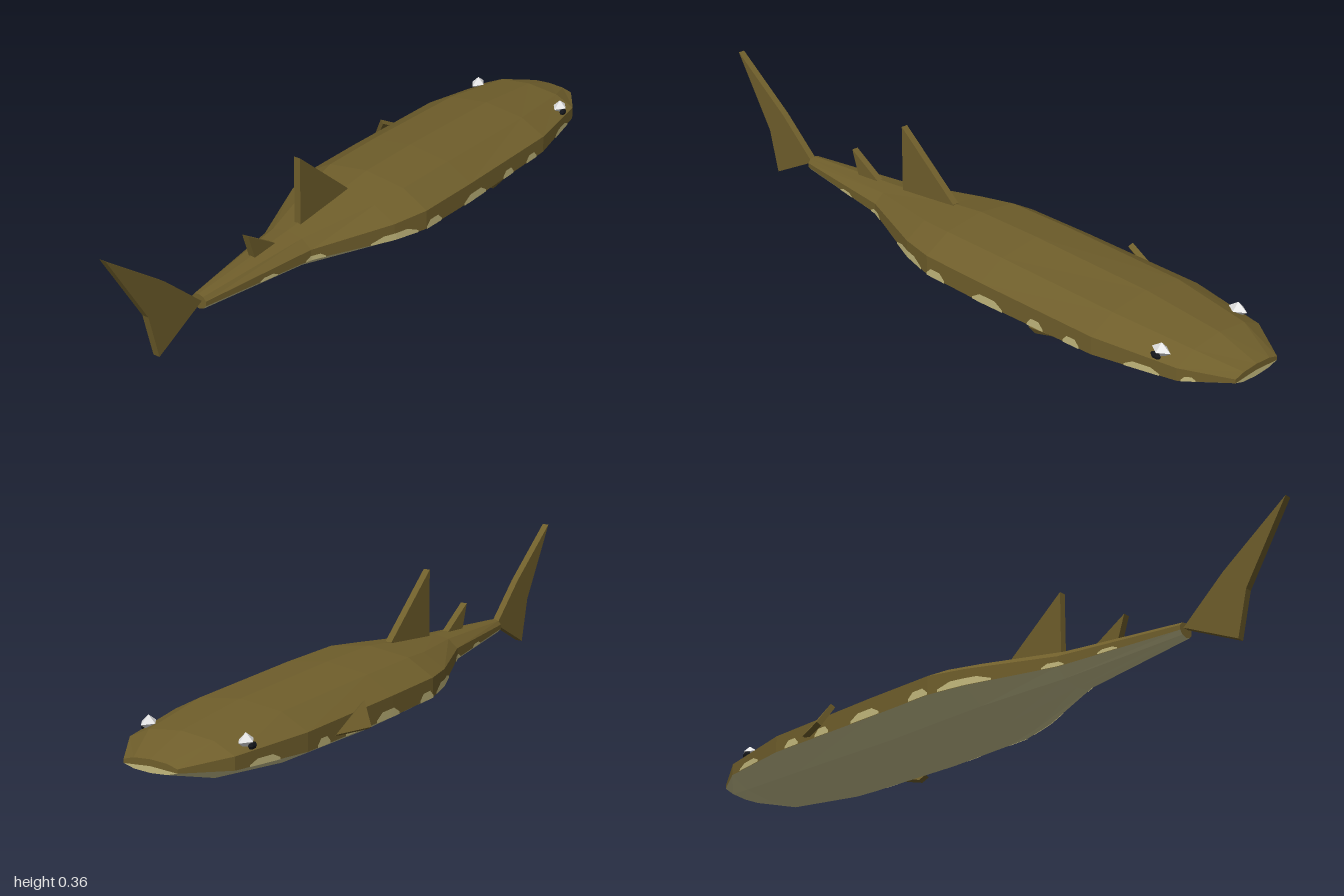
import * as THREE from 'three';
import { ConvexGeometry } from 'three/addons/geometries/ConvexGeometry.js';

const material = (name, color, extra = {}) => {
  const m = new THREE.MeshStandardMaterial({ color, flatShading: true, ...extra });
  m.name = name;
  return m;
};

const MID_Z = 0.0225;
const SIDES = 10;

// Body stations along x: [x, half width, top y, bottom y]
const STATIONS = [
  [-0.67, 0.024, 0.117, 0.075],
  [-0.31, 0.078, 0.145, 0.048],
  [-0.07, 0.175, 0.17, 0.016],
  [0.04, 0.203, 0.183, 0.003],
  [0.25, 0.206, 0.183, 0.0],
  [0.64, 0.203, 0.173, 0.012],
  [0.88, 0.158, 0.15, 0.037],
  [1.0, 0.08, 0.11, 0.076],
];

// Interpolated station at any x
function stationAt(x) {
  let i = 0;
  while (i < STATIONS.length - 2 && x > STATIONS[i + 1][0]) i++;
  const [a, b] = [STATIONS[i], STATIONS[i + 1]];
  const t = (x - a[0]) / (b[0] - a[0]);
  return a.map((v, k) => THREE.MathUtils.lerp(v, b[k], t));
}

function ringPoint([x, half, top, bottom], k) {
  const a = ((k - 0.5) * 2 * Math.PI) / SIDES;
  const rz = half / Math.cos(Math.PI / SIDES);
  return [x, (top + bottom) / 2 + (Math.sin(a) * (top - bottom)) / 2, MID_Z + Math.cos(a) * rz];
}

function geometryFrom(positions) {
  const g = new THREE.BufferGeometry();
  g.setAttribute('position', new THREE.Float32BufferAttribute(positions, 3));
  g.computeVertexNormals();
  return g;
}

// Lengthwise strips of the ten-sided body, from strip `first` to `last`
function bodyStrips(first, last) {
  const pos = [];
  for (let i = 0; i < STATIONS.length - 1; i++) {
    for (let k = first; k <= last; k++) {
      const a = ringPoint(STATIONS[i], k), b = ringPoint(STATIONS[i + 1], k);
      const c = ringPoint(STATIONS[i + 1], k + 1), d = ringPoint(STATIONS[i], k + 1);
      pos.push(...a, ...b, ...c, ...a, ...c, ...d);
    }
  }
  return geometryFrom(pos);
}

// Fan of an end ring, facing +x or -x
function endCap(station, first, last, facing) {
  const [x, , top, bottom] = station;
  const centre = [x, (top + bottom) / 2, MID_Z];
  const pos = [];
  for (let k = first; k <= last; k++) {
    const a = ringPoint(station, k), b = ringPoint(station, k + 1);
    pos.push(...centre, ...(facing > 0 ? [...b, ...a] : [...a, ...b]));
  }
  return geometryFrom(pos);
}

// Round-topped patch lying on the side band
function sidePatch(x0, x1, side) {
  const pos = [], n = 8, rows = [];
  for (let i = 0; i <= n; i++) {
    const t = i / n;
    const s = stationAt(THREE.MathUtils.lerp(x0, x1, t));
    const y = ringPoint(s, 0)[1];
    const band = ringPoint(s, 1)[1] - y;
    const rise = band * 0.42 * Math.min(1, 0.3 + 2.8 * Math.min(t, 1 - t));
    const z = MID_Z + side * (s[1] + 0.002);
    rows.push([[s[0], y, z], [s[0], y + rise, z]]);
  }
  for (let i = 0; i < n; i++) {
    const [a, d] = rows[i], [b, c] = rows[i + 1];
    if (side > 0) pos.push(...a, ...b, ...c, ...a, ...c, ...d);
    else pos.push(...a, ...c, ...b, ...a, ...d, ...c);
  }
  return geometryFrom(pos);
}

// Upright fin: outline in x, y with a thin depth
function uprightFin(points) {
  const shape = new THREE.Shape(points.map(([x, y]) => new THREE.Vector2(x, y)));
  const g = new THREE.ExtrudeGeometry(shape, { depth: 0.02, bevelEnabled: false });
  return g.translate(0, 0, MID_Z - 0.01);
}

// Thin triangular slab through three corners
function slab(corners, thickness) {
  const p = corners.map((c) => new THREE.Vector3(...c));
  const normal = new THREE.Triangle(...p).getNormal(new THREE.Vector3());
  const pts = p.flatMap((v) => [-0.5, 0.5].map((s) => v.clone().addScaledVector(normal, s * thickness)));
  return new ConvexGeometry(pts);
}

export function createModel() {
  const skin = material('bronze skin', 0x6f5e2b);
  const belly = material('pale belly', 0xcac491);
  const cream = material('cream markings', 0xc3b87c, { side: THREE.DoubleSide });
  const white = material('eye white', 0xf4f4f4);
  const black = material('pupil black', 0x15171c);

  const root = new THREE.Group();
  root.name = 'fish';
  const add = (name, geometry, mat) => {
    const mesh = new THREE.Mesh(geometry, mat);
    mesh.name = name;
    root.add(mesh);
    return mesh;
  };

  // Body
  const nose = STATIONS[STATIONS.length - 1];
  add('back', bodyStrips(0, 5), skin);
  add('belly', bodyStrips(6, 9), belly);
  add('upperLip', endCap(nose, 0, 5, 1), skin);
  add('mouth', endCap(nose, 6, 9, 1), cream);
  add('tailRoot', endCap(STATIONS[0], 0, 9, -1), skin);

  // Side markings
  const patches = [
    [-0.49, -0.43], [-0.33, -0.27], [-0.14, 0.01], [0.04, 0.11], [0.22, 0.33],
    [0.42, 0.475], [0.545, 0.6], [0.735, 0.835],
  ];
  for (const side of [1, -1]) {
    for (const [x0, x1] of patches) add('sidePatch', sidePatch(x0, x1, side), cream);
  }
  add('cheekPatch', sidePatch(0.89, 0.92, 1), cream);

  // Upright fins
  add('tailFin', uprightFin([[-1, 0.358], [-0.866, 0.144], [-0.834, 0.016], [-0.67, 0.1], [-0.8, 0.214]]), skin);
  add('dorsalFin', uprightFin([[-0.267, 0.342], [-0.267, 0.14], [-0.06, 0.16], [-0.06, 0.172]]), skin);
  add('rearDorsalFin', uprightFin([[-0.483, 0.203], [-0.455, 0.12], [-0.375, 0.125], [-0.375, 0.138]]), skin);

  // Pectoral fins, one raised and one tucked under
  add('rightPectoralFin', slab([[0.52, 0.078, -0.18], [0.42, 0.08, -0.22], [0.4, 0.14, -0.187]], 0.016), skin);
  add('leftPectoralFin', slab([[0.5, 0.058, 0.205], [0.4, 0.042, 0.195], [0.42, 0.029, 0.19]], 0.014), skin);

  // Eyes
  for (const side of [1, -1]) {
    const eye = add('eye', new THREE.OctahedronGeometry(1), white);
    eye.scale.set(0.03, 0.021, 0.021);
    eye.position.set(0.82, 0.133, MID_Z + side * 0.147);
    const pupil = add('pupil', new THREE.SphereGeometry(1, 6, 4), black);
    pupil.scale.set(0.017, 0.01, 0.008);
    pupil.position.set(0.815, 0.122, MID_Z + side * 0.162);
  }
  return root;
}
